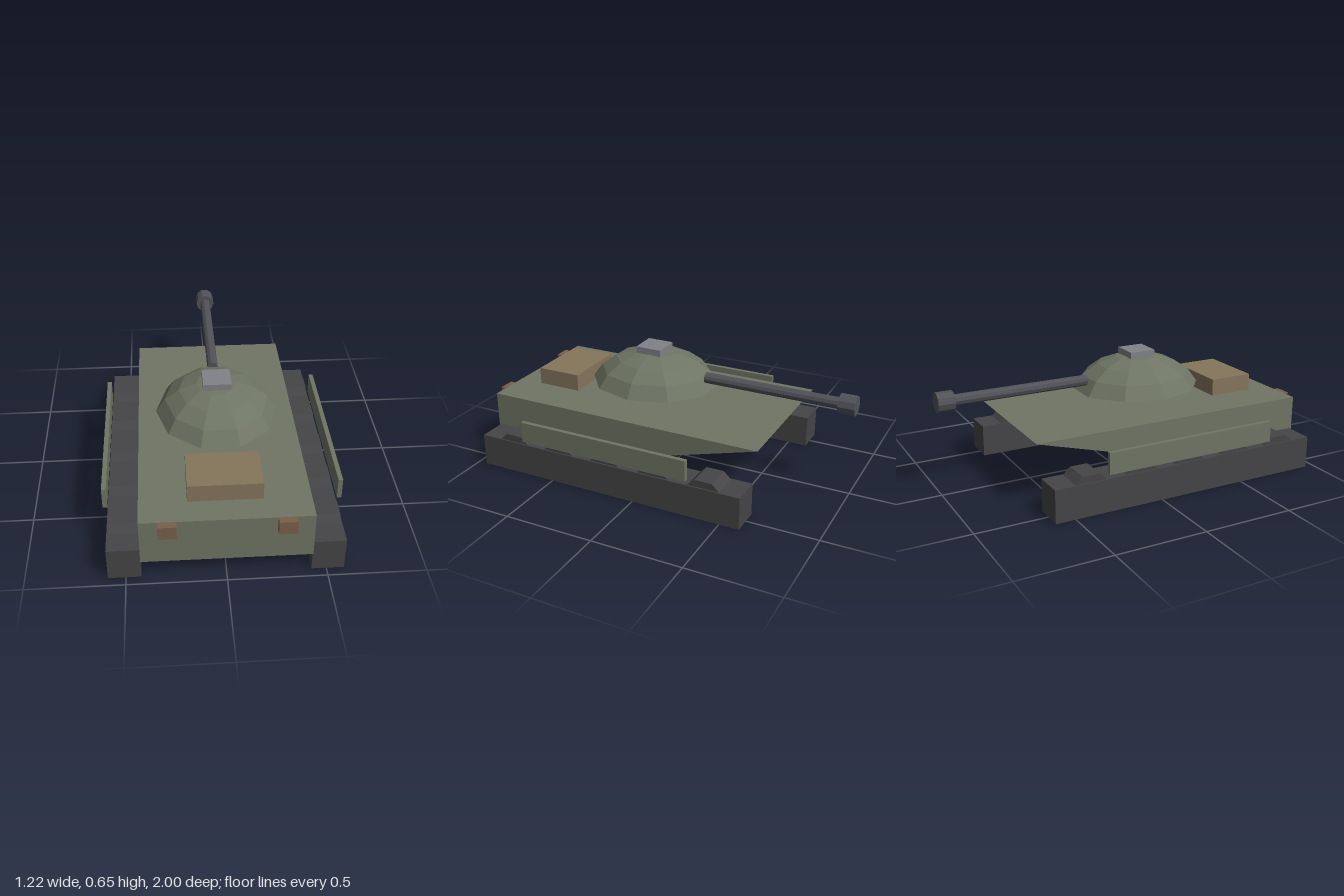
import * as THREE from 'three';

const mat = (color) => new THREE.MeshStandardMaterial({ color, flatShading: true });

// Extrude a (z, y) outline along x between x0 and x1
function extrudeAlongX(points, x0, x1) {
  const shape = new THREE.Shape(points.map(([z, y]) => new THREE.Vector2(-z, y)));
  const geo = new THREE.ExtrudeGeometry(shape, { depth: x1 - x0, bevelEnabled: false });
  return geo.rotateY(Math.PI / 2).translate(x0, 0, 0);
}

// Box given by its extents
function boxBetween(x0, x1, y0, y1, z0, z1) {
  return new THREE.BoxGeometry(x1 - x0, y1 - y0, z1 - z0)
    .translate((x0 + x1) / 2, (y0 + y1) / 2, (z0 + z1) / 2);
}

// Ten-sided cylinder along z with corners at +x and -x
function tubeAlongZ(radius, z0, z1, y) {
  return new THREE.CylinderGeometry(radius, radius, z1 - z0, 10)
    .rotateY(Math.PI / 2).rotateX(Math.PI / 2).translate(0, y, (z0 + z1) / 2);
}

export function createModel() {
  const model = new THREE.Group();
  const olive = mat(0x6f7564), tan = mat(0x85755b), rust = mat(0x7a5f4b);
  const dark = mat(0x454547), steel = mat(0x505258), grey = mat(0x818287);
  const add = (name, geometry, material) => {
    const mesh = new THREE.Mesh(geometry, material);
    mesh.name = name;
    model.add(mesh);
    return mesh;
  };

  // Hull with a long sloping underside
  add('hull', extrudeAlongX(
    [[0.965, 0.115], [0.26, 0.115], [-0.63, 0.367], [0.965, 0.367]], -0.425, 0.425), olive);

  // Turret: low dome, flattened and slightly longer along z
  const domeMat = olive.clone();
  domeMat.side = THREE.DoubleSide;
  const dome = add('turret',
    new THREE.SphereGeometry(1, 10, 4, 0, Math.PI * 2, 0, Math.PI * 0.4), domeMat);
  dome.scale.set(0.344, 0.264, 0.383);
  dome.position.set(0, 0.365, 0.165);
  add('hatch', boxBetween(-0.075, 0.075, 0.618, 0.655, 0.095, 0.245), grey);

  // Gun
  add('barrel', tubeAlongZ(0.03, -0.92, -0.15, 0.514), steel);
  add('muzzle', tubeAlongZ(0.054, -1, -0.91, 0.514), steel);

  // Stowage box on the deck, and a small plug in the sloping underside
  add('stowageBox', boxBetween(-0.187, 0.187, 0.36, 0.462, 0.57, 0.825), tan);
  add('plug', new THREE.CylinderGeometry(0.03, 0.03, 0.04, 10)
    .translate(-0.255, 0.309, -0.35), olive);

  // Running gear, skirts and lamps on both sides
  for (const [side, s] of [['left', 1], ['right', -1]]) {
    const span = (a, b) => (s > 0 ? [a, b] : [-b, -a]);
    add(side + 'Track', boxBetween(...span(0.425, 0.59), 0, 0.18, -0.61, 0.95), dark);
    for (let i = 0; i < 5; i++) {
      const z = -0.407 + i * 0.288;
      add(side + 'Wheel' + (i + 1), extrudeAlongX(
        [[z + 0.093, 0.175], [z - 0.093, 0.175], [z - 0.048, 0.218], [z + 0.048, 0.218]],
        ...span(0.433, 0.582)), dark);
    }
    add(side + 'Skirt', boxBetween(...span(0.588, 0.612), 0.212, 0.328, -0.32, 0.665), olive);
    add(side + 'Lamp', boxBetween(...span(0.243, 0.335), 0.29, 0.364, 0.95, 1), rust);
  }
  return model;
}
